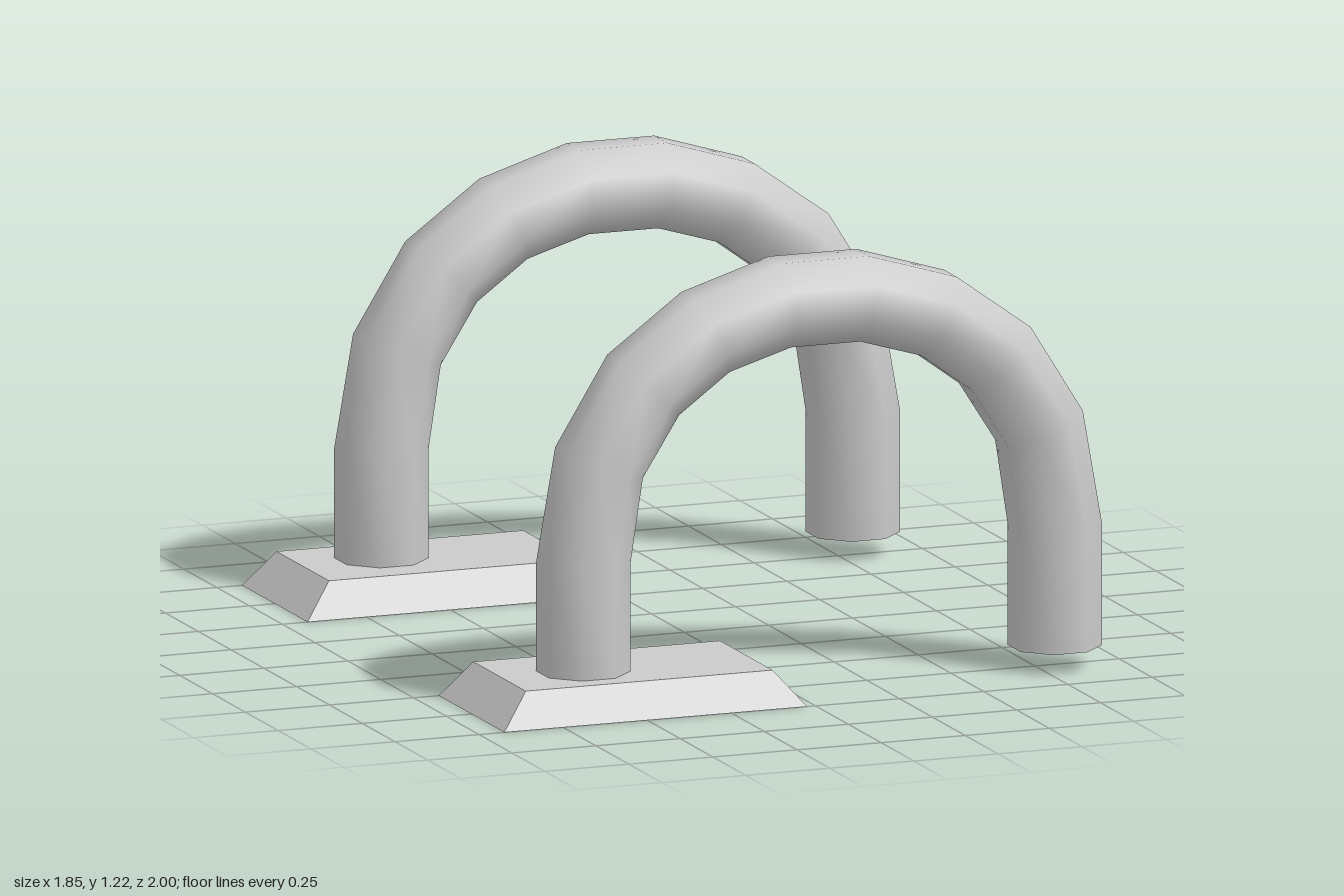
import * as THREE from 'three';

const material = new THREE.MeshStandardMaterial({ color: 0xcccccc });
const SIDES = 8;
const ARCH_X = 0.1;

// Half of the arch, foot to crown: outer x, outer y, inner x, inner y
const HALF = [
  [0.822, 0.06, 0.58, 0.06],
  [0.822, 0.405, 0.58, 0.405],
  [0.765, 0.73, 0.543, 0.645],
  [0.61, 0.98, 0.435, 0.815],
  [0.39, 1.14, 0.285, 0.925],
  [0.13, 1.22, 0.103, 0.98],
];
const STATIONS = [
  ...HALF.map(([a, b, c, d]) => [-a, b, -c, d]),
  ...HALF.slice().reverse(),
];

// Octagonal cross-section with flats facing outward and sideways
function ring([ox, oy, ix, iy]) {
  const r = 1 / Math.cos(Math.PI / SIDES);
  return Array.from({ length: SIDES }, (_, k) => {
    const a = ((k + 0.5) / SIDES) * Math.PI * 2;
    const u = Math.cos(a) * r * 0.5;
    return new THREE.Vector3(
      (ox + ix) / 2 + u * (ox - ix),
      (oy + iy) / 2 + u * (oy - iy),
      Math.sin(a) * r * 0.12
    );
  });
}

// Smooth bent pipe lofted through the stations
function pipeGeometry() {
  const points = STATIONS.flatMap(ring);
  const index = [];
  for (let s = 0; s < STATIONS.length - 1; s++) {
    for (let k = 0; k < SIDES; k++) {
      const a = s * SIDES + k;
      const b = s * SIDES + ((k + 1) % SIDES);
      index.push(a, b, a + SIDES, b, b + SIDES, a + SIDES);
    }
  }
  const geometry = new THREE.BufferGeometry().setFromPoints(points);
  geometry.setIndex(index);
  geometry.computeVertexNormals();
  return geometry;
}

// Flat octagon closing a pipe end, facing down
function endCap(x) {
  const cap = new THREE.CircleGeometry(0.121 / Math.cos(Math.PI / SIDES), SIDES, Math.PI / SIDES);
  cap.rotateX(Math.PI / 2);
  cap.translate(x, 0.06, 0);
  return cap;
}

// Footplate with sloped sides
function plateGeometry() {
  const plate = new THREE.BoxGeometry(0.9, 0.1, 0.5);
  const p = plate.attributes.position;
  for (let i = 0; i < p.count; i++) {
    if (p.getY(i) > 0) p.setXYZ(i, p.getX(i) * 0.815, p.getY(i), p.getZ(i) * 0.8);
  }
  plate.computeVertexNormals();
  return plate;
}

function add(parent, name, geometry, x, y, z) {
  const mesh = new THREE.Mesh(geometry, material);
  mesh.name = name;
  mesh.position.set(x, y, z);
  parent.add(mesh);
}

export function createModel() {
  const model = new THREE.Group();
  model.name = 'archedPipes';
  for (const [label, side] of [['front', 1], ['back', -1]]) {
    const arch = new THREE.Group();
    arch.name = `${label}Arch`;
    add(arch, 'pipe', pipeGeometry(), ARCH_X, 0, side * 0.77);
    for (const x of [-0.701, 0.701]) {
      add(arch, x < 0 ? 'rightPipeEnd' : 'leftPipeEnd', endCap(x), ARCH_X, 0, side * 0.77);
    }
    add(arch, 'footplate', plateGeometry(), -0.475, 0.05, side * 0.75);
    model.add(arch);
  }
  return model;
}
